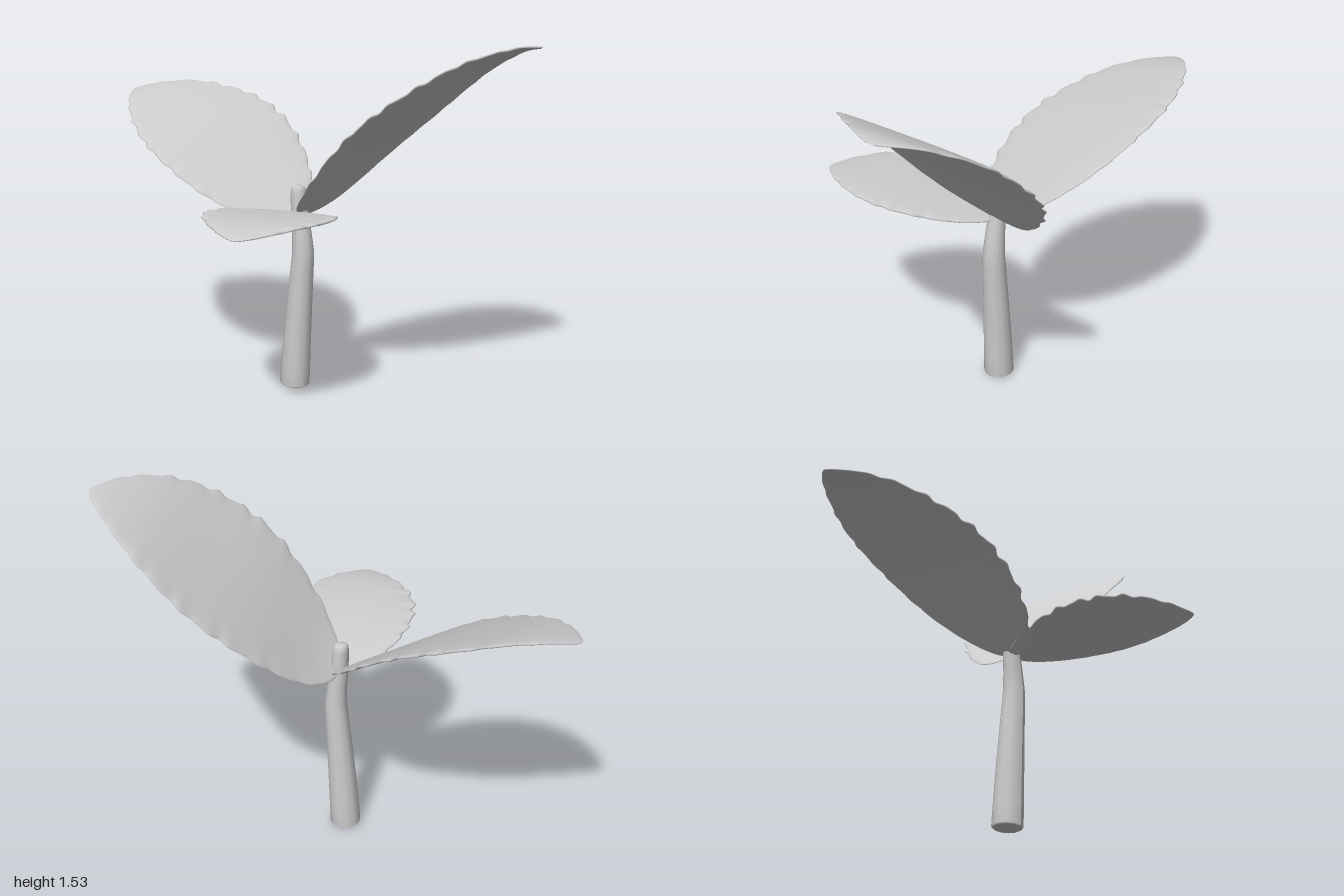
import * as THREE from 'three';

const leafGrey = new THREE.MeshStandardMaterial({ color: 0xcccccc });
leafGrey.name = 'pale grey';

const ROWS = 90, COLS = 18;

// Height along a leaf or bend along the stem, from a few [position, value] pairs
function profile(pairs) {
  const curve = new THREE.SplineCurve(pairs.map(p => new THREE.Vector2(...p)));
  const pts = curve.getPoints(200);
  return t => {
    const i = Math.max(1, pts.findIndex(p => p.x >= t));
    const a = pts[i - 1], b = pts[i];
    return THREE.MathUtils.mapLinear(t, a.x, b.x, a.y, b.y);
  };
}

// Closed, thin leaf with a scalloped rim, lofted from ring-shaped cross-sections.
// slope: sideways tilt at the base and at the tip; skew: where each edge is widest
function makeLeaf({ name, base, tip, halfWidth, heights, slope, skew, teeth }) {
  const height = profile(heights);
  const along = new THREE.Vector2(tip[0] - base[0], tip[1] - base[1]);
  const side = new THREE.Vector2(-along.y, along.x).normalize();
  const pos = [], index = [], ring = COLS * 2;

  for (let r = 0; r <= ROWS; r++) {
    const t = r / ROWS;
    const tilt = THREE.MathUtils.lerp(slope[0], slope[1], t);
    for (let k = 0; k < ring; k++) {
      const angle = (k / ring) * Math.PI * 2;
      const s = Math.cos(angle), up = Math.sin(angle);
      const edge = s > 0 ? 0 : 1;
      const fill = Math.max(0, Math.sin(Math.PI * t ** skew[edge])) ** (0.6 + 0.15 * t);
      const rim = s ** 8 * fill;
      const phase = t * teeth * Math.PI * 2 + edge * 1.7;
      const wave = 0.75 * Math.sin(phase) + 0.35 * Math.sin(phase * 1.6 + 1);
      const c = s * (halfWidth * fill + 0.01 * wave * rim);
      const thickness = 0.015 * Math.sign(up) * Math.abs(up) ** 0.7 * Math.sqrt(fill);
      pos.push(
        base[0] + along.x * t + side.x * c,
        height(t) + tilt * c + 0.004 * wave * rim + thickness,
        base[1] + along.y * t + side.y * c
      );
      if (r < ROWS) {
        const a = r * ring + k, b = r * ring + (k + 1) % ring;
        index.push(a, a + ring, b, b, a + ring, b + ring);
      }
    }
  }
  const geo = new THREE.BufferGeometry();
  geo.setAttribute('position', new THREE.Float32BufferAttribute(pos, 3));
  geo.setIndex(index);
  geo.computeVertexNormals();
  const mesh = new THREE.Mesh(geo, leafGrey);
  mesh.name = name;
  return mesh;
}

// Tapered stem with a blunt top, bent sideways
function makeStem() {
  const outline = [[0, 0.004], [0.058, 0.004], [0.066, 0.01], [0.064, 0.1], [0.06, 0.25], [0.055, 0.4],
    [0.05, 0.55], [0.047, 0.62], [0.042, 0.7], [0.038, 0.78], [0.034, 0.87], [0.031, 0.893], [0.022, 0.902], [0, 0.904]];
  const geo = new THREE.LatheGeometry(outline.map(p => new THREE.Vector2(...p)), 12);
  const bend = profile([[0, 0.014], [0.3, 0.032], [0.58, 0.053], [0.66, 0.053], [0.78, 0.037], [0.92, 0.028]]);
  const p = geo.attributes.position;
  for (let i = 0; i < p.count; i++) {
    const x = p.getX(i), y = p.getY(i);
    // the foot is cut slightly aslant
    const slant = y < 0.05 ? -0.06 * x : 0;
    p.setXYZ(i, x + bend(y), y + slant, p.getZ(i) - 0.134);
  }
  geo.computeVertexNormals();
  const mesh = new THREE.Mesh(geo, leafGrey);
  mesh.name = 'stem';
  return mesh;
}

export function createModel() {
  const model = new THREE.Group();
  model.name = 'sprout';
  const base = [0.035, -0.135];
  model.add(
    makeStem(),
    makeLeaf({
      name: 'leftLeaf', base, tip: [1, -0.39], halfWidth: 0.385, slope: [0.34, 0.1], skew: [0.84, 1.02], teeth: 11,
      heights: [[0, 0.775], [0.1, 0.865], [0.3, 1.08], [0.48, 1.24], [0.72, 1.42], [0.9, 1.505], [1, 1.52]]
    }),
    makeLeaf({
      name: 'rightLeaf', base, tip: [-1, -0.32], halfWidth: 0.355, slope: [0.25, 0.2], skew: [0.9, 0.86], teeth: 11,
      heights: [[0, 0.775], [0.15, 0.875], [0.45, 1.07], [0.75, 1.195], [0.9, 1.23], [1, 1.23]]
    }),
    makeLeaf({
      name: 'frontLeaf', base, tip: [0.235, 0.645], halfWidth: 0.262, slope: [0, 0], skew: [0.95, 1], teeth: 9,
      heights: [[0, 0.775], [0.3, 0.832], [0.5, 0.857], [0.7, 0.869], [0.85, 0.866], [1, 0.85]]
    })
  );
  return model;
}
